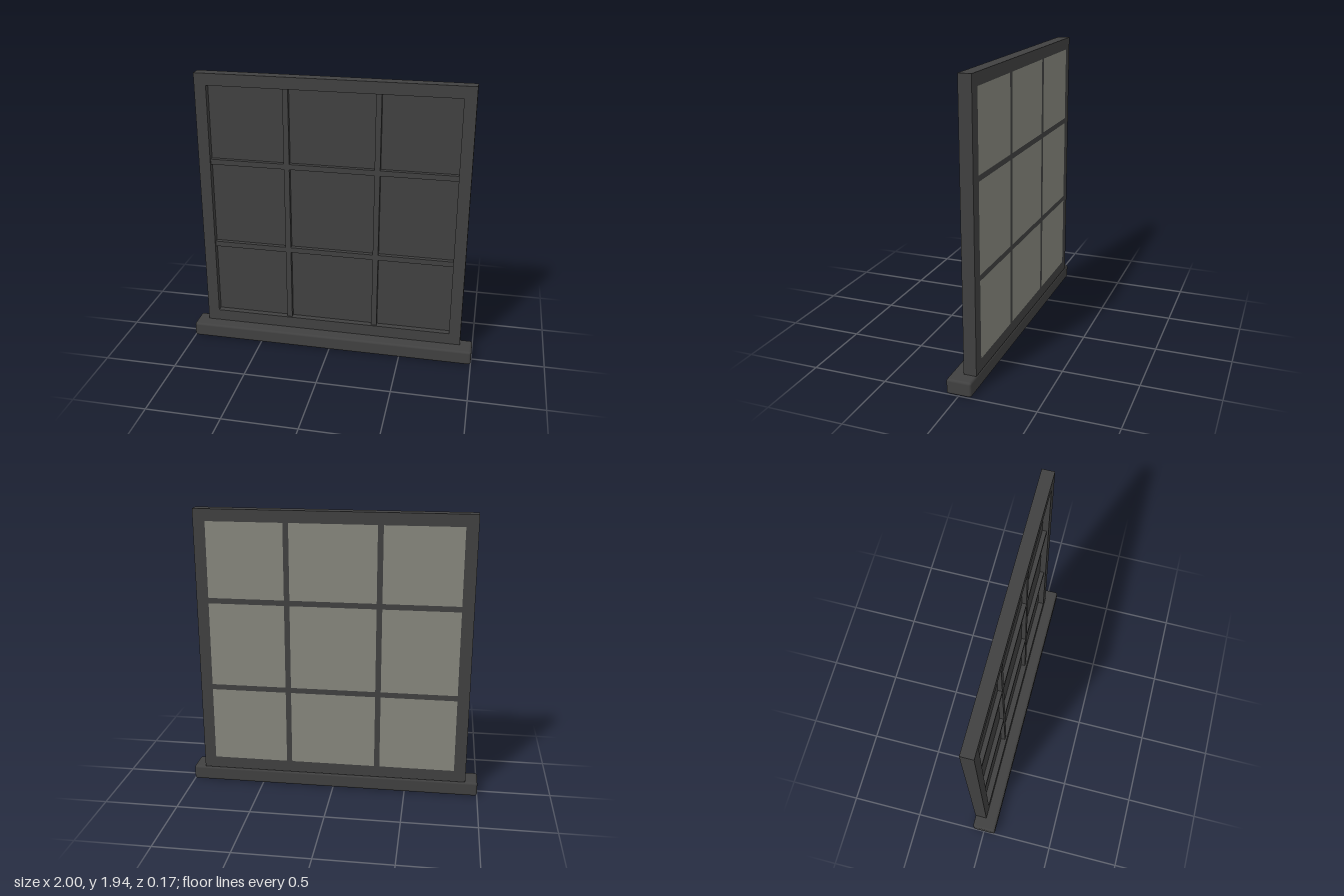
import * as THREE from 'three';
import { RoundedBoxGeometry } from 'three/addons/geometries/RoundedBoxGeometry.js';

const BACK = -0.083, MID_Y = 1.02, HALF = 0.916, OPEN = 0.836;
const BAR = 0.037, BAR_POS = 0.306, BAR_FRONT = -0.012, PANE_FRONT = -0.042;

export function createModel() {
  const model = new THREE.Group();
  const frameMat = new THREE.MeshStandardMaterial({ color: 0x404040 });
  frameMat.name = 'charcoalFrame';
  const glassMat = new THREE.MeshStandardMaterial({ color: 0x85867c });
  glassMat.name = 'greyGlass';

  const add = (name, geometry, material) => {
    const mesh = new THREE.Mesh(geometry, material);
    mesh.name = name;
    model.add(mesh);
    return mesh;
  };
  // Box given by centre x, y, width, height and z range
  const slab = (name, x, y, w, h, z0, z1, material) =>
    add(name, new THREE.BoxGeometry(w, h, z1 - z0), material).position.set(x, y, (z0 + z1) / 2);

  const square = (path, r) => path.moveTo(-r, -r).lineTo(r, -r).lineTo(r, r).lineTo(-r, r).closePath();

  // Outer frame with one large opening
  const outline = square(new THREE.Shape(), HALF);
  outline.holes.push(square(new THREE.Path(), OPEN));
  add('frame', new THREE.ExtrudeGeometry(outline, { depth: -BACK, bevelEnabled: false }), frameMat)
    .position.set(0, MID_Y, BACK);

  // Glazing bars: full-height uprights, crossbars between them
  const cells = [
    [-OPEN, -BAR_POS - BAR / 2],
    [-BAR_POS + BAR / 2, BAR_POS - BAR / 2],
    [BAR_POS + BAR / 2, OPEN],
  ].map(([a, b]) => ({ mid: (a + b) / 2, size: b - a }));
  for (const s of [-1, 1]) {
    slab('uprightBar', s * BAR_POS, MID_Y, BAR, OPEN * 2, BACK, BAR_FRONT, frameMat);
    for (const c of cells)
      slab('crossBar', c.mid, MID_Y + s * BAR_POS, c.size, BAR, BACK, BAR_FRONT, frameMat);
  }

  // Panes: dark recessed panel with pale glass flush with the back
  for (const c of cells) {
    for (const r of cells) {
      slab('panePanel', c.mid, MID_Y + r.mid, c.size, r.size, BACK + 0.003, PANE_FRONT, frameMat);
      slab('rearGlass', c.mid, MID_Y + r.mid, c.size, r.size, BACK, BACK + 0.003, glassMat);
    }
  }

  // Sill with softened edges
  add('sill', new RoundedBoxGeometry(2, 0.1, 0.164, 3, 0.016), frameMat).position.set(0, 0.05, 0);

  return model;
}
